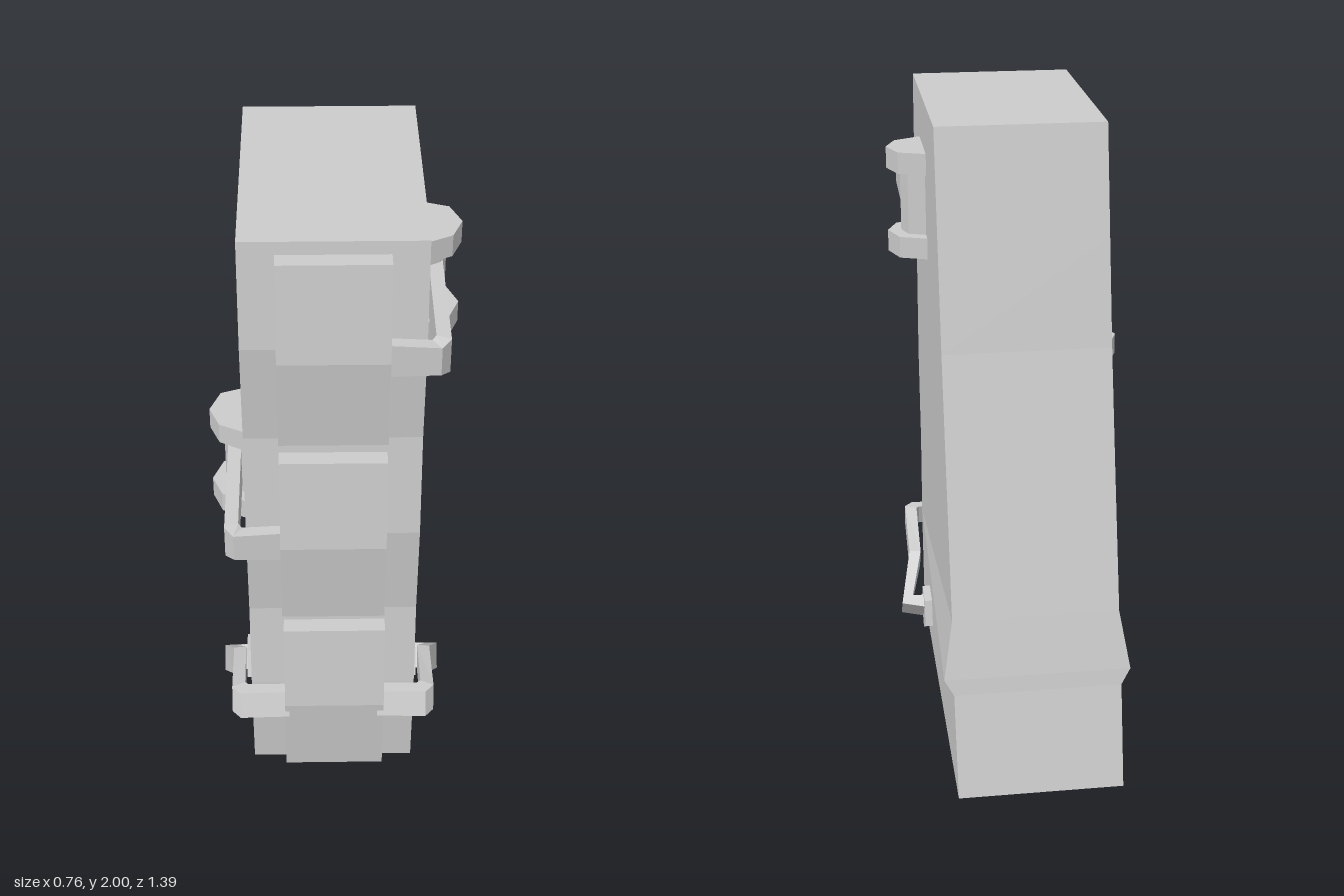
import * as THREE from 'three';

const material = new THREE.MeshStandardMaterial({ color: 0xcccccc, flatShading: true });

// Skin a list of equal-sized rings and cap both ends; faces are turned outwards.
function loft(name, rings) {
  const tris = [];
  const n = rings[0].length;
  for (let r = 0; r < rings.length - 1; r++) {
    for (let i = 0; i < n; i++) {
      const j = (i + 1) % n;
      const a = rings[r][i], b = rings[r][j], c = rings[r + 1][j], d = rings[r + 1][i];
      tris.push([a, b, c], [a, c, d]);
    }
  }
  const first = rings[0], last = rings[rings.length - 1];
  for (let i = 1; i < n - 1; i++) {
    tris.push([first[0], first[i + 1], first[i]], [last[0], last[i], last[i + 1]]);
  }
  let volume = 0;
  const [p, q, s] = [new THREE.Vector3(), new THREE.Vector3(), new THREE.Vector3()];
  for (const t of tris) {
    volume += p.fromArray(t[0]).dot(q.fromArray(t[1]).cross(s.fromArray(t[2])));
  }
  if (volume < 0) tris.forEach((t) => t.reverse());
  const geometry = new THREE.BufferGeometry();
  geometry.setAttribute('position', new THREE.Float32BufferAttribute(tris.flat(2), 3));
  geometry.computeVertexNormals();
  const mesh = new THREE.Mesh(geometry, material);
  mesh.name = name;
  return mesh;
}

// Strap rows: inner x, y, z, outer x, y, z, then the half-height vector y, z.
function strap(name, side, y, rows) {
  return loft(name, rows.map(([xi, yi, zi, xo, yo, zo, hy, hz]) => [
    [side * xi, y + yi - hy, zi - hz],
    [side * xo, y + yo - hy, zo - hz],
    [side * xo, y + yo + hy, zo + hz],
    [side * xi, y + yi + hy, zi + hz],
  ]));
}

// The strap start shared by all: out of the panel and round the corner.
const cornerRows = [
  [0.14, 0, 0.644, 0.14, 0, 0.681, 0.052, 0],
  [0.27, 0, 0.644, 0.295, 0, 0.685, 0.045, 0],
  [0.281, 0, 0.635, 0.322, 0, 0.655, 0.054, 0],
];

// Half-octagon bracket slice, scaled about its wall centre line.
function bracketPart(name, side, y0, y1, scale) {
  const outline = [[0, -0.12], [0.088, -0.088], [0.12, -0.004], [0.088, 0.075], [0, 0.12]];
  return loft(name, [y0, y1].map((y) => outline.map(([x, z]) =>
    [side * (0.258 + x * scale), y, 0.232 + z * scale])));
}

function spoolHinge(side, y) {
  const hinge = new THREE.Group();
  hinge.name = side > 0 ? 'leftSpoolHinge' : 'rightSpoolHinge';
  hinge.add(
    bracketPart('spoolTopCap', side, y + 0.103, y + 0.172, 1),
    bracketPart('spoolBottomCap', side, y - 0.172, y - 0.103, 1),
    bracketPart('spoolCore', side, y - 0.11, y + 0.11, 0.64),
    strap('hingeStrap', side, y, [...cornerRows, [0.281, 0, 0.26, 0.322, 0, 0.26, 0.067, 0]]),
  );
  return hinge;
}

function lowerFastener(side) {
  const fastener = new THREE.Group();
  fastener.name = side > 0 ? 'leftLowerFastener' : 'rightLowerFastener';
  // Bent strap that drops back and turns into the wall
  const rows = cornerRows.map((row) => [...row.slice(0, 6), 0.04, -0.015]);
  rows.push(
    [0.285, -0.065, 0.415, 0.325, -0.065, 0.42, 0.04, -0.021],
    [0.325, -0.17, 0.3, 0.364, -0.19, 0.28, 0.033, -0.027],
    [0.255, -0.17, 0.295, 0.255, -0.205, 0.26, 0.033, -0.027],
  );
  fastener.add(strap('bentStrap', side, 0.335, rows));
  // Five-sided wall plate
  fastener.add(loft('wallPlate', [0.25, 0.287].map((x) => Array.from({ length: 5 }, (_, i) => {
    const a = 1.05 + (i * Math.PI * 2) / 5;
    return [side * x, 0.14 + 0.08 * Math.sin(a), 0.275 + 0.08 * Math.cos(a)];
  }))));
  return fastener;
}

function frontPanel(y, x) {
  return loft('frontPanel', [[-0.3, 0.663], [0, 0.693], [0.3, 0.663]].map(([dy, z]) => [
    [x - 0.157, y + dy, z - 0.053],
    [x + 0.157, y + dy, z - 0.053],
    [x + 0.157, y + dy, z],
    [x - 0.157, y + dy, z],
  ]));
}

export function createModel() {
  const model = new THREE.Group();
  model.name = 'wedgeBlock';

  // Body rows: y, front z, back z, back half-width (swelling low down at the rear)
  const body = [
    [0, 0.592, -0.69, 0.26], [0.32, 0.617, -0.607, 0.262], [0.37, 0.615, -0.597, 0.291],
    [0.55, 0.6, -0.55, 0.26], [0.67, 0.59, -0.517, 0.26], [1, 0.618, -0.425, 0.26],
    [1.34, 0.59, -0.335, 0.26], [1.67, 0.618, -0.262, 0.26], [2, 0.592, -0.19, 0.26],
  ];
  model.add(loft('body', body.map(([y, zf, zb, w]) =>
    [[-0.26, y, zf], [0.26, y, zf], [w, y, zb], [-w, y, zb]])));

  // Three bowed panels up the front
  model.add(frontPanel(0.34, 0.004), frontPanel(1.003, 0), frontPanel(1.67, 0));

  // Hinges and fasteners
  model.add(spoolHinge(1, 1.672), spoolHinge(-1, 1.004));
  for (const side of [-1, 1]) model.add(lowerFastener(side));
  return model;
}
